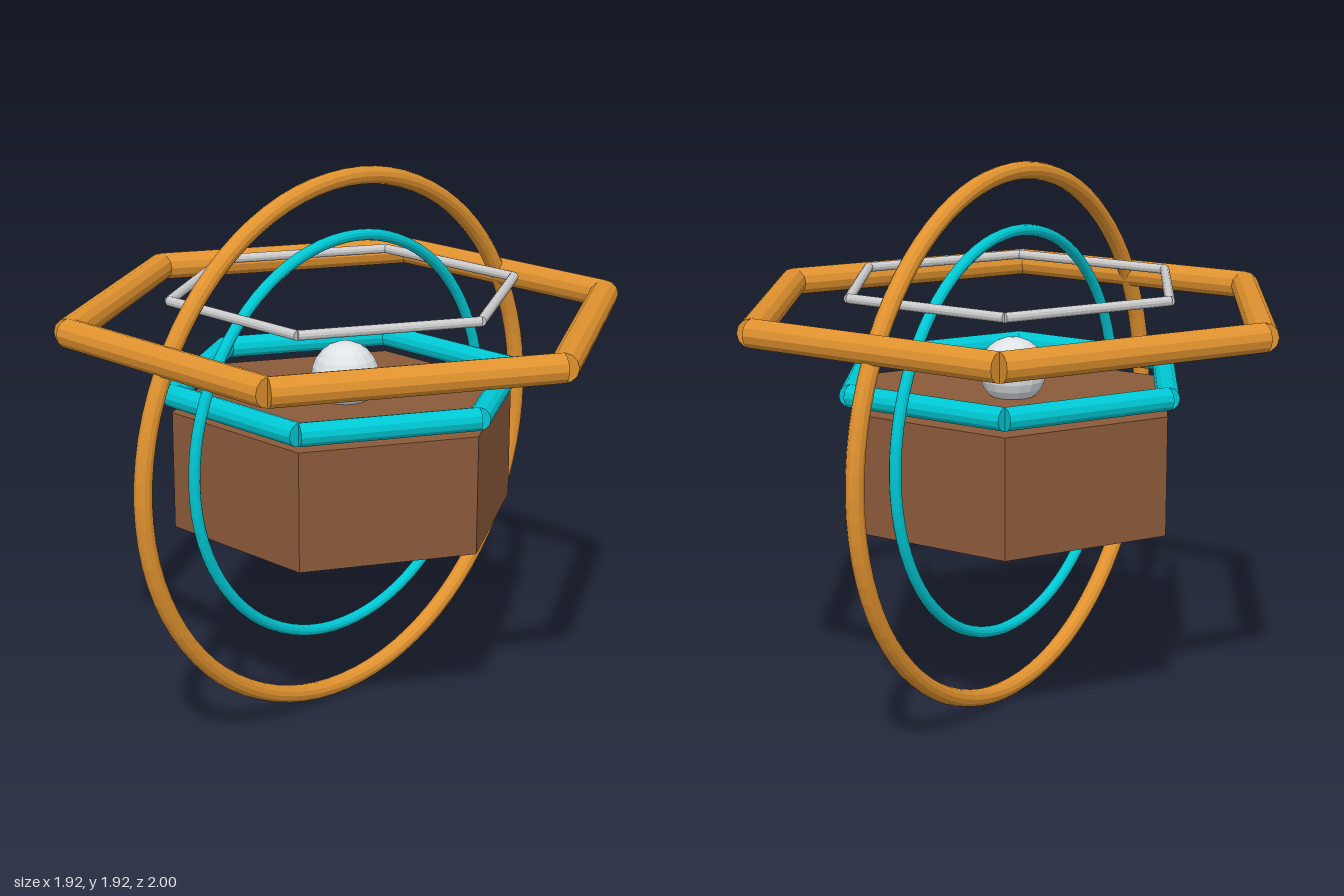
import * as THREE from 'three';

const paint = (color) => new THREE.MeshStandardMaterial({ color, flatShading: true });

export function createModel() {
  const model = new THREE.Group();
  const orange = paint(0xe0922f);
  const cyan = paint(0x00c8d4);
  const silver = paint(0xc4c4c4);
  const brown = paint(0x8b5a3a);
  const white = paint(0xdde2e4);

  const add = (name, geometry, material, y) => {
    const mesh = new THREE.Mesh(geometry, material);
    mesh.name = name;
    mesh.position.y = y;
    model.add(mesh);
  };

  // Hexagonal frame of six straight, square-cut rods; corners point to +z and -z
  const hexFrame = (name, radius, rod, y, material) => {
    const frame = new THREE.Group();
    frame.name = name;
    frame.position.y = y;
    const geometry = new THREE.CylinderGeometry(rod, rod, radius, 12).rotateX(Math.PI / 2);
    const apothem = radius * Math.cos(Math.PI / 6);
    for (let i = 0; i < 6; i++) {
      const a = (i * Math.PI) / 3;
      const bar = new THREE.Mesh(geometry, material);
      bar.name = name + 'Rod';
      bar.position.set(Math.cos(a) * apothem, 0, -Math.sin(a) * apothem);
      bar.rotation.y = a;
      frame.add(bar);
    }
    model.add(frame);
  };

  // Hexagonal body and the ball set in its top
  add('body', new THREE.CylinderGeometry(0.613, 0.613, 0.415, 6), brown, 0.91);
  add('ball', new THREE.SphereGeometry(0.118, 16, 12), white, 1.204);

  // Upright rings
  add('outerRing', new THREE.TorusGeometry(0.929, 0.031, 12, 80), orange, 0.966);
  add('innerRing', new THREE.TorusGeometry(0.709, 0.02, 12, 80), cyan, 0.981);

  // Level hexagonal frames
  hexFrame('outerFrame', 0.957, 0.05, 1.425, orange);
  hexFrame('bodyFrame', 0.613, 0.04, 1.179, cyan);
  hexFrame('upperFrame', 0.613, 0.017, 1.51, silver);

  return model;
}
